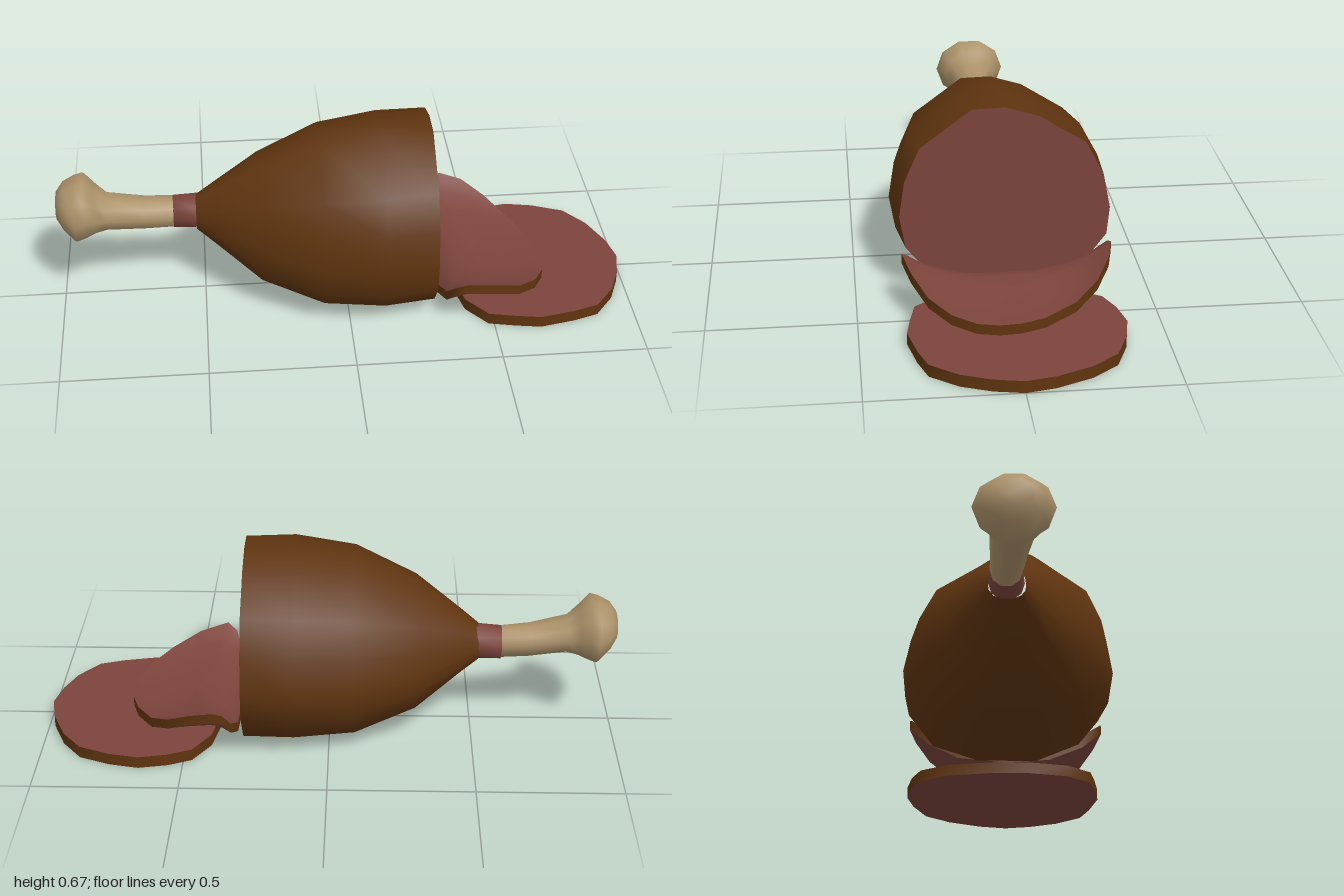
import * as THREE from 'three';

const mat = (name, color) => {
  const m = new THREE.MeshStandardMaterial({ color });
  m.name = name;
  return m;
};

// Skin over a series of closed rings; each ring runs counter-clockwise seen from the last one.
function loft(rings) {
  const n = rings[0].length, pos = rings.flat(2), index = [];
  for (let i = 0; i < rings.length - 1; i++) {
    for (let j = 0; j < n; j++) {
      const k = (j + 1) % n;
      const a = i * n + j, b = i * n + k, c = a + n, d = b + n;
      index.push(a, b, d, a, d, c);
    }
  }
  const g = new THREE.BufferGeometry();
  g.setAttribute('position', new THREE.Float32BufferAttribute(pos, 3));
  g.setIndex(index);
  g.computeVertexNormals();
  return g;
}

// Ring across the x axis from a unit outline [z, y].
const section = (outline, [x, cy, hy, cz, hz]) =>
  outline.map(([z, y]) => [x, cy + y * hy, cz + z * hz]);

export function createModel() {
  const skin = mat('roasted skin', 0x5f340f);
  const meat = mat('meat', 0x7c443c);
  const bone = mat('bone', 0xab9169);
  const model = new THREE.Group();
  model.name = 'carvedHam';

  const add = (parent, name, geometry, material) => {
    const mesh = new THREE.Mesh(geometry, material);
    mesh.name = name;
    parent.add(mesh);
  };

  // Ham body: irregular outline of the cut, scaled along the length
  const cut = [
    [-.375, .29], [-.35, .41], [-.285, .53], [-.12, .63], [0, .665], [.115, .662],
    [.30, .53], [.355, .41], [.375, .285], [.355, .17], [.28, .08], [.12, .015],
    [-.1, .015], [-.27, .07], [-.365, .19],
  ].map(([z, y]) => [z / .375, (y - .34) / .325]);
  const end = [.295, .34, .325, -.012, .358];
  const body = [
    [-.52, .32, .06, -.015, .062],
    [-.46, .32, .105, -.01, .105],
    [-.3, .315, .225, 0, .225],
    [-.09, .328, .306, 0, .338],
    [.12, .339, .327, -.002, .375],
    end,
  ].map(s => section(cut, s));
  add(model, 'hamSkin', loft(body), skin);
  add(model, 'cutFace', loft([body.at(-1), section(cut, [.295, .34, 0, -.012, 0])]), meat);

  // Shank: meat collar and knobbed bone
  const round = Array.from({ length: 10 }, (_, i) => {
    const a = i / 10 * Math.PI * 2;
    return [-Math.cos(a), Math.sin(a)];
  });
  const shank = stations => loft(stations.map(s => section(round, s)));
  add(model, 'meatCollar', shank([
    [-.6, .317, 0, -.02, 0], [-.6, .317, .06, -.02, .055], [-.51, .32, .063, -.017, .06],
  ]), meat);
  add(model, 'shankBone', shank([
    [-1, .38, 0, 0, 0],
    [-1, .38, .045, 0, .06],
    [-.975, .375, .085, 0, .1],
    [-.935, .362, .118, 0, .13],
    [-.905, .372, .117, 0, .125],
    [-.87, .36, .09, 0, .1],
    [-.83, .345, .066, 0, .075],
    [-.7, .325, .06, -.012, .06],
    [-.58, .318, .057, -.02, .052],
  ]), bone);

  // Slice: meat faces with a skin rim, draped over a height rule
  function slice(name, outline, [cx, cz], height, thickness) {
    const g = new THREE.Group();
    g.name = name;
    const ring = (s, drop) => outline.map(([x, z]) => {
      const px = cx + (x - cx) * s, pz = cz + (z - cz) * s;
      return [px, height(px, pz) - drop, pz];
    });
    const scales = [1, .92, .82, .65, .4, 0];
    add(g, name + 'Top', loft(scales.map(s => ring(s, 0))), meat);
    add(g, name + 'Bottom', loft([...scales].reverse().map(s => ring(s, thickness))), meat);
    add(g, name + 'Rim', loft([ring(1, thickness), ring(1, 0)]), skin);
    model.add(g);
  }

  slice('flatSlice', [
    [1, 0], [.98, -.1], [.93, -.22], [.86, -.31], [.75, -.355], [.65, -.375],
    [.55, -.355], [.47, -.32], [.41, -.22], [.38, -.05], [.38, .08], [.41, .22],
    [.48, .31], [.57, .33], [.66, .345], [.78, .32], [.87, .29], [.94, .2], [.98, .1],
  ], [.69, -.01], () => .042, .042);

  // Crest of the folded slice along x, rising towards both sides in z
  const crest = [[.31, .045], [.33, .07], [.36, .098], [.42, .107], [.5, .095], [.6, .082], [.72, .08]];
  const drape = (x, z) => {
    let i = 0;
    while (i < crest.length - 2 && x > crest[i + 1][0]) i++;
    const [[x0, y0], [x1, y1]] = [crest[i], crest[i + 1]];
    return y0 + (y1 - y0) * (x - x0) / (x1 - x0) + .092 * Math.abs(z / .345) ** 3;
  };
  slice('foldedSlice', [
    [.71, .05], [.705, -.02], [.68, -.1], [.62, -.21], [.55, -.29], [.47, -.34], [.39, -.36],
    [.36, -.35], [.335, -.29], [.32, -.18], [.315, 0], [.32, .15], [.335, .27],
    [.355, .325], [.39, .345], [.49, .32], [.59, .27], [.66, .2], [.7, .12],
  ], [.48, 0], drape, .036);

  return model;
}
